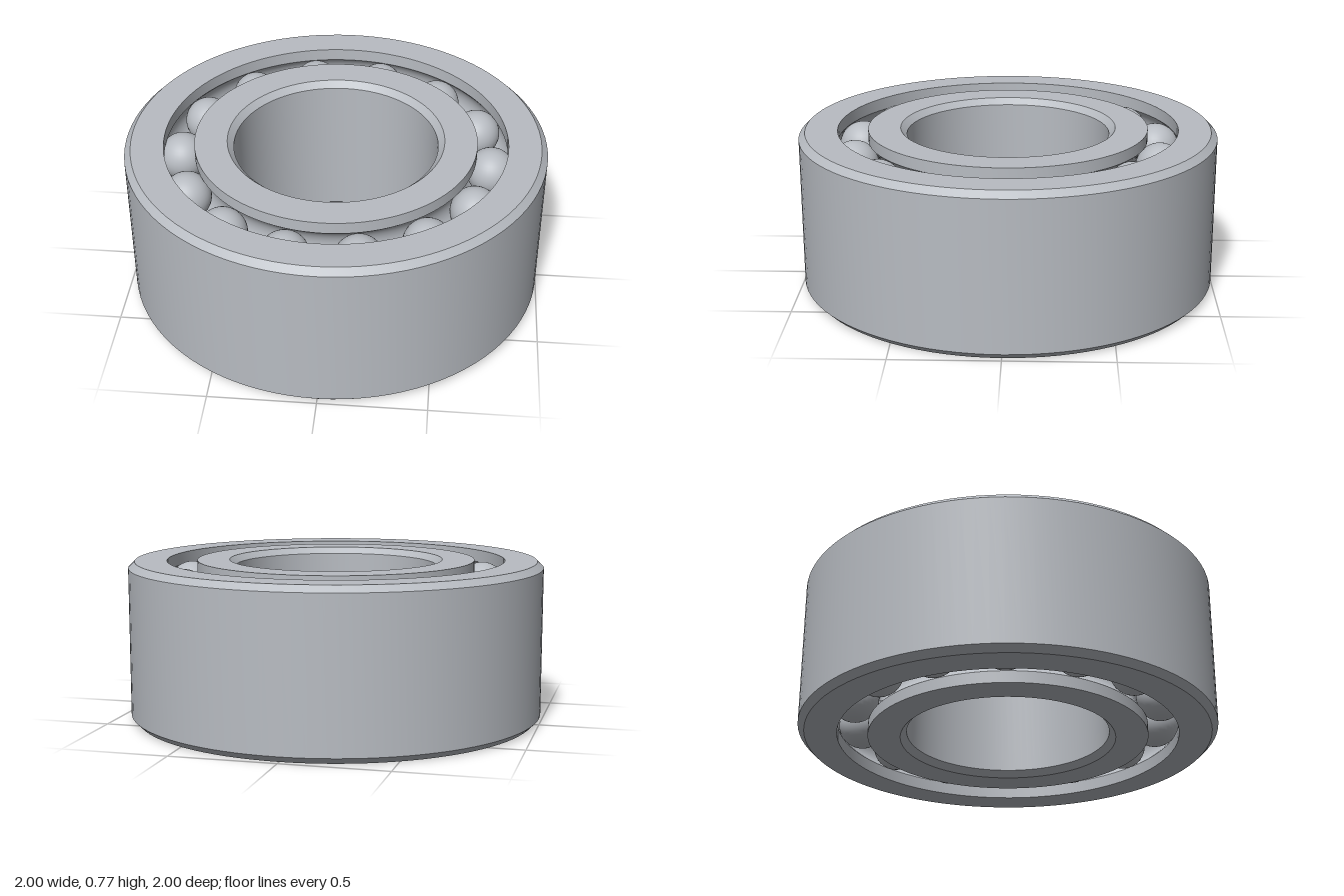
import * as THREE from 'three';
import { toCreasedNormals } from 'three/addons/utils/BufferGeometryUtils.js';

const H = 0.77;             // bearing width
const CH = 0.03;            // edge chamfer
const PITCH = 0.74;         // radius of the ball circle
const BALL = 0.115;
const ROWS = [0.15, H - 0.15];
const BALLS_PER_ROW = 14;

// Arc of a raceway cut into a wall of radius wallR; side is +1 outside the balls, -1 inside
function groove(y, wallR, side) {
  const r = BALL + 0.002, a = Math.acos(Math.abs(wallR - PITCH) / r), pts = [];
  for (let i = 0; i <= 12; i++) {
    const t = side * a * (1 - i / 6);
    pts.push([PITCH + side * r * Math.cos(t), y + r * Math.sin(t)]);
  }
  return pts;
}

function ring(name, profile, material) {
  const pts = [...profile, profile[0]].map(([r, y]) => new THREE.Vector2(r, y));
  const mesh = new THREE.Mesh(toCreasedNormals(new THREE.LatheGeometry(pts, 96), 0.6), material);
  mesh.name = name;
  return mesh;
}

export function createModel() {
  const steel = new THREE.MeshStandardMaterial({ color: 0xb8bcc2 });
  steel.name = 'steel';
  const model = new THREE.Group();
  model.name = 'ballBearing';

  // Outer ring: chamfered outside, two raceways inside (walked downward)
  model.add(ring('outerRing', [
    [1 - CH, 0], [1, CH], [1, H - CH], [1 - CH, H], [0.815, H],
    ...groove(ROWS[1], 0.815, 1), ...groove(ROWS[0], 0.815, 1), [0.815, 0],
  ], steel));

  // Inner ring: two raceways outside (walked upward), chamfered bore
  model.add(ring('innerRing', [
    [0.67, 0], ...groove(ROWS[0], 0.67, -1), ...groove(ROWS[1], 0.67, -1), [0.67, H],
    [0.485 + CH, H], [0.485, H - CH], [0.485, CH], [0.485 + CH, 0],
  ], steel));

  // Two rows of balls
  const ballGeometry = new THREE.SphereGeometry(BALL, 32, 20);
  ROWS.forEach((y, row) => {
    const balls = new THREE.Group();
    balls.name = row ? 'upperBallRow' : 'lowerBallRow';
    for (let i = 0; i < BALLS_PER_ROW; i++) {
      const a = (i / BALLS_PER_ROW) * Math.PI * 2;
      const ball = new THREE.Mesh(ballGeometry, steel);
      ball.name = 'ball';
      ball.position.set(PITCH * Math.cos(a), y, PITCH * Math.sin(a));
      balls.add(ball);
    }
    model.add(balls);
  });
  return model;
}
